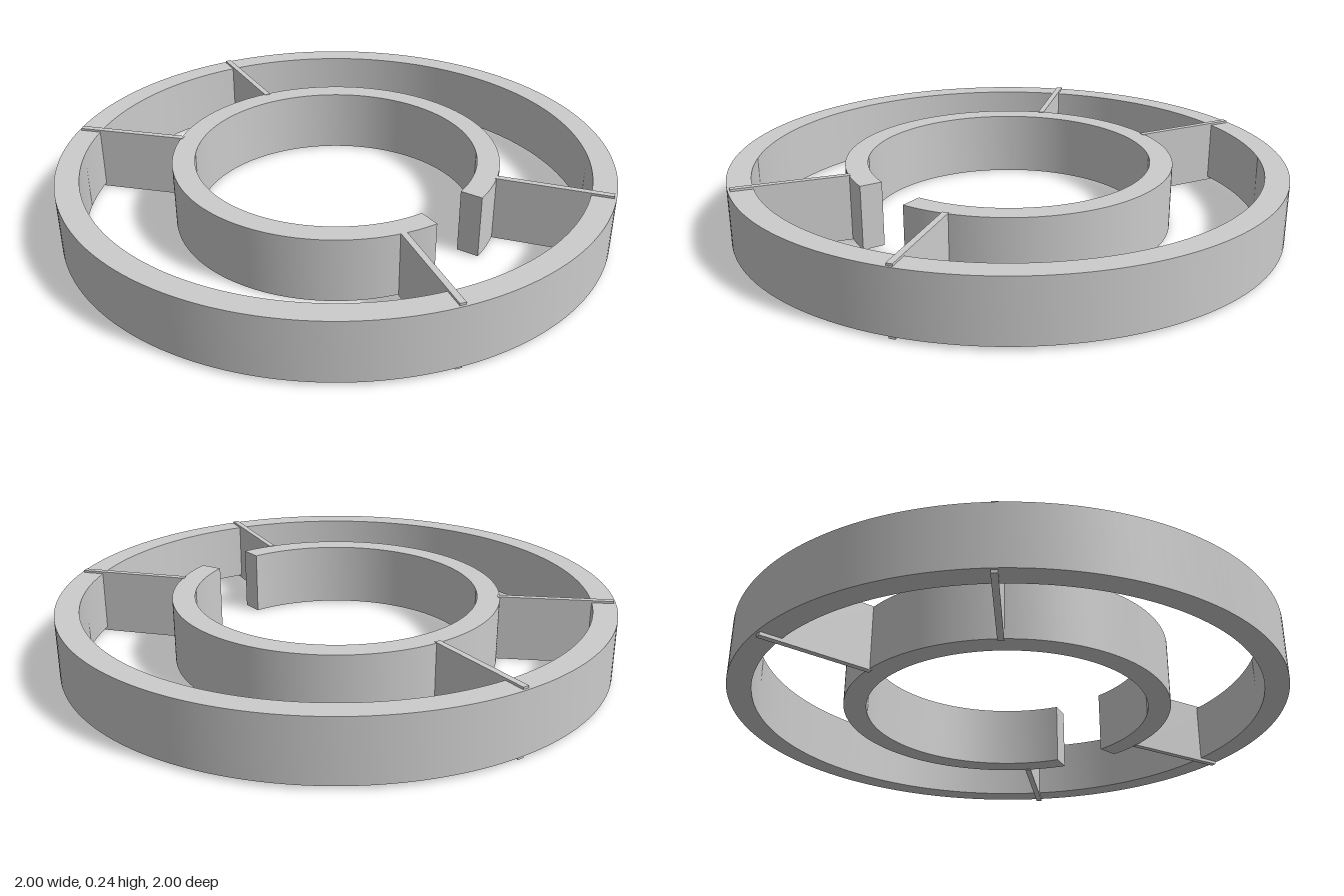
import * as THREE from 'three';
import { toCreasedNormals } from 'three/addons/utils/BufferGeometryUtils.js';

const rad = THREE.MathUtils.degToRad;

// Flat ring or arc in the ground plane, angles in degrees from +x towards +z
function ringGeometry(outer, inner, bottom, top, start = 0, end = 360) {
  const shape = new THREE.Shape();
  if (end - start === 360) {
    shape.absarc(0, 0, outer, 0, Math.PI * 2, false);
    const hole = new THREE.Path();
    hole.absarc(0, 0, inner, 0, Math.PI * 2, true);
    shape.holes.push(hole);
  } else {
    shape.absarc(0, 0, outer, rad(start), rad(end), false);
    shape.absarc(0, 0, inner, rad(end), rad(start), true);
    shape.closePath();
  }
  const geo = new THREE.ExtrudeGeometry(shape, { depth: top - bottom, bevelEnabled: false, curveSegments: 96 });
  geo.rotateX(Math.PI / 2);
  geo.translate(0, top, 0);
  return toCreasedNormals(geo, rad(30));
}

export function createModel() {
  const model = new THREE.Group();
  model.name = 'spokedRing';
  const material = new THREE.MeshStandardMaterial({ color: 0xcccccc });

  const add = (name, geo) => {
    const mesh = new THREE.Mesh(geo, material);
    mesh.name = name;
    model.add(mesh);
    return mesh;
  };

  // Full outer ring and inner ring with a gap
  add('outerRing', ringGeometry(1, 0.915, 0.012, 0.232));
  add('innerRing', ringGeometry(0.592, 0.511, 0.004, 0.238, 56.3, 393.5)).position.z = -0.003;

  // Thin spokes, standing slightly proud of the outer ring
  const inner = 0.585, outer = 0.992;
  [18, 68.3, 192, 241.3].forEach((angle, i) => {
    const geo = new THREE.BoxGeometry(outer - inner, 0.24, 0.022);
    geo.translate((inner + outer) / 2, 0.12, 0);
    add(`spoke${i + 1}`, geo).rotation.y = -rad(angle);
  });

  return model;
}
